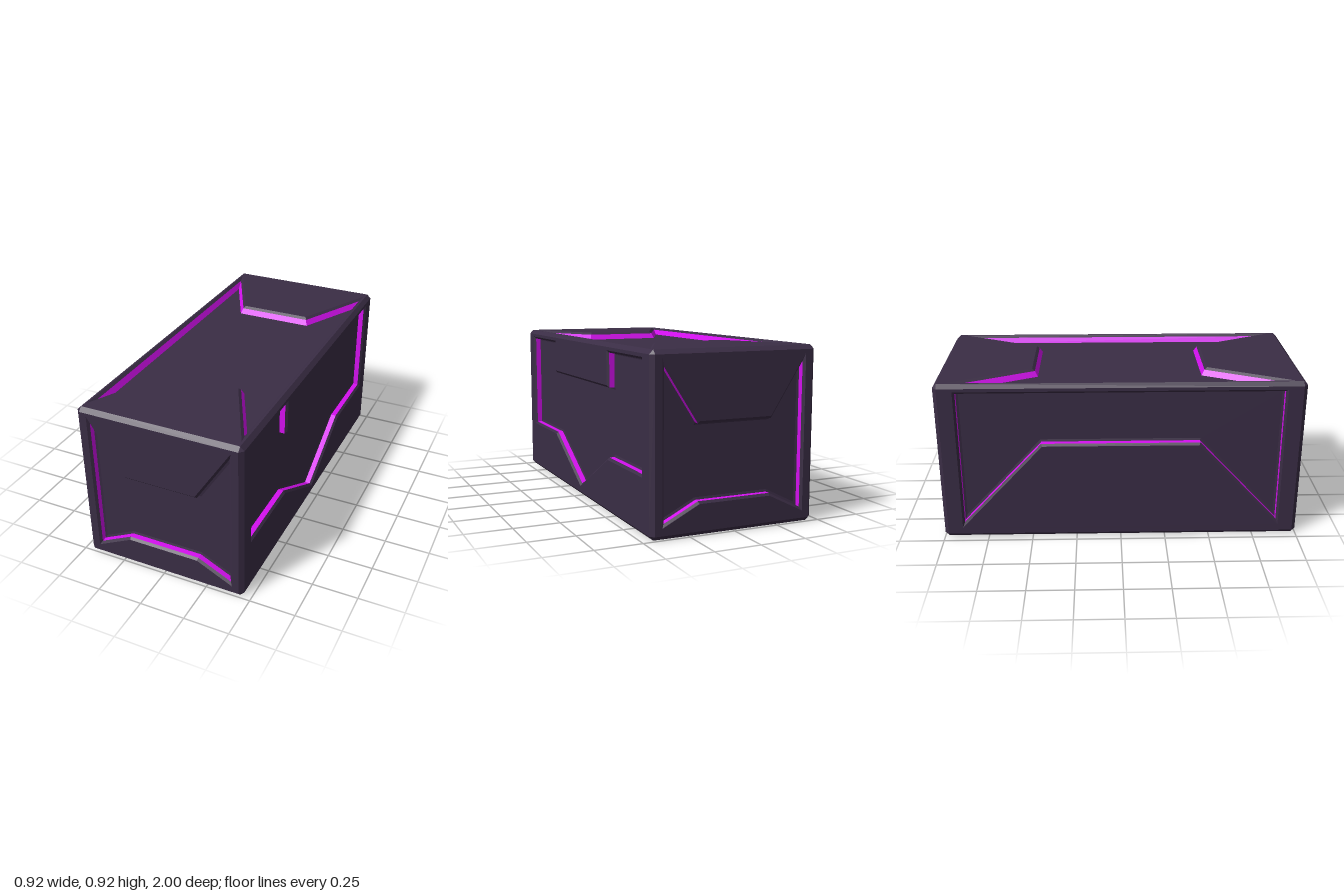
import * as THREE from 'three';
import { ConvexGeometry } from 'three/addons/geometries/ConvexGeometry.js';

const W = 0.46, H = 0.46, L = 1, C = 0.022; // half sizes and edge chamfer
const shell = new THREE.MeshStandardMaterial({ color: 0x3a2d45, flatShading: true });
const glow = new THREE.MeshStandardMaterial({ color: 0xd510f0, flatShading: true });

// Move a counter-clockwise outline inward by d, with mitred corners
function inset(points, d) {
  const n = points.length;
  return points.map((p, i) => {
    const a = p.clone().sub(points[(i + n - 1) % n]).normalize();
    const b = points[(i + 1) % n].clone().sub(p).normalize();
    const na = new THREE.Vector2(-a.y, a.x), nb = new THREE.Vector2(-b.y, b.x);
    const m = na.clone().add(nb).normalize();
    return p.clone().addScaledVector(m, d / m.dot(nb));
  });
}

// Band of quads between two outlines at two depths
function band(outer, z0, inner, z1) {
  const pos = [];
  outer.forEach((a, i) => {
    const j = (i + 1) % outer.length, b = outer[j], c = inner[j], d = inner[i];
    pos.push(a.x, a.y, z0, b.x, b.y, z0, c.x, c.y, z1);
    pos.push(a.x, a.y, z0, c.x, c.y, z1, d.x, d.y, z1);
  });
  const g = new THREE.BufferGeometry();
  g.setAttribute('position', new THREE.Float32BufferAttribute(pos, 3));
  g.computeVertexNormals();
  return g;
}

function add(group, name, geometry, material) {
  const mesh = new THREE.Mesh(geometry, material);
  mesh.name = name;
  group.add(mesh);
  return mesh;
}

// Recess profiles: [inset, depth] steps; the second step is the glowing one
const STEEP = [[0, 0], [0.012, 0.012], [0.012, 0.042], [0.024, 0.046]];
const SLOPED = [[0, 0], [0.015, 0.012], [0.032, 0.042]];

// One face of the crate: frame, stepped recess walls and sunken floor
function face(name, w, h, outline, profile) {
  const group = new THREE.Group();
  group.name = name;
  const pts = outline.map(([x, y]) => new THREE.Vector2(x, y));
  if (THREE.ShapeUtils.isClockWise(pts)) pts.reverse();
  const x = w - C, y = h - C;
  const frame = new THREE.Shape([[-x, -y], [x, -y], [x, y], [-x, y]].map(p => new THREE.Vector2(...p)));
  frame.holes.push(new THREE.Path(pts));
  add(group, 'frame', new THREE.ShapeGeometry(frame), shell);
  const rings = profile.map(([d]) => inset(pts, d));
  for (let i = 1; i < profile.length; i++) {
    add(group, i === 2 ? 'lightStrip' : 'recessBevel',
      band(rings[i - 1], -profile[i - 1][1], rings[i], -profile[i][1]), i === 2 ? glow : shell);
  }
  const last = profile.length - 1;
  add(group, 'sunkenPanel', new THREE.ShapeGeometry(new THREE.Shape(rings[last])), shell)
    .position.z = -profile[last][1];
  return group;
}

// Complete a half outline (x > 0, top to bottom) by mirroring it
const mirror = half => [...half, ...half.filter(p => p[0] > 0).reverse().map(([x, y]) => [-x, y])];
// Side outlines are given in heights above the ground
const raised = half => mirror(half.map(([x, y]) => [x, y - H]));

export function createModel() {
  const model = new THREE.Group();
  model.name = 'crate';

  // Chamfered edges and corners: a hull without its six flat sides
  const corners = [];
  for (const sx of [-1, 1]) for (const sy of [-1, 1]) for (const sz of [-1, 1]) {
    for (let k = 0; k < 3; k++) {
      const cut = [C, C, C];
      cut[k] = 0;
      corners.push(new THREE.Vector3(sx * (W - cut[0]), sy * (H - cut[1]), sz * (L - cut[2])));
    }
  }
  const hull = new ConvexGeometry(corners);
  const p = hull.attributes.position.array, n = hull.attributes.normal.array, kept = [];
  for (let i = 0; i < p.length; i += 9) {
    if (Math.max(Math.abs(n[i]), Math.abs(n[i + 1]), Math.abs(n[i + 2])) < 0.99) kept.push(...p.slice(i, i + 9));
  }
  const edges = new THREE.BufferGeometry();
  edges.setAttribute('position', new THREE.Float32BufferAttribute(kept, 3));
  edges.computeVertexNormals();
  add(model, 'chamferedEdges', edges, shell).position.y = H;

  // Front and back ends
  const endOutline = raised([[0.2, 0.57], [0.4, 0.88], [0.4, 0.06], [0.2, 0.16]]);
  for (const s of [1, -1]) {
    const end = face(s > 0 ? 'frontEnd' : 'backEnd', W, H, endOutline, STEEP);
    end.position.set(0, H, s * L);
    end.rotation.y = s > 0 ? 0 : Math.PI;
    model.add(end);
  }

  // Side with a notched top and a pointed bottom
  const notched = face('notchedSide', L, H, raised([
    [0.432, 0.695], [0.432, 0.88], [0.895, 0.88], [0.895, 0.295], [0.44, 0.295], [0, 0.055],
  ]), STEEP);
  notched.position.set(W, H, 0);
  notched.rotation.y = Math.PI / 2;
  model.add(notched);

  // Opposite side with a raised, sloping bottom
  const arched = face('archedSide', L, H, raised([
    [0.895, 0.88], [0.895, 0.06], [0.43, 0.56],
  ]), STEEP);
  arched.position.set(-W, H, 0);
  arched.rotation.y = -Math.PI / 2;
  model.add(arched);

  // Lid and underside
  const lid = face('lid', W, L, mirror([[0.2, 0.487], [0.428, 0.94], [0.428, -0.94], [0.2, -0.487]]), SLOPED);
  lid.position.y = 2 * H;
  lid.rotation.x = -Math.PI / 2;
  const underside = face('underside', W, L, mirror([[0.41, 0.89], [0.41, -0.89]]), STEEP);
  underside.rotation.x = Math.PI / 2;
  model.add(lid, underside);
  return model;
}
